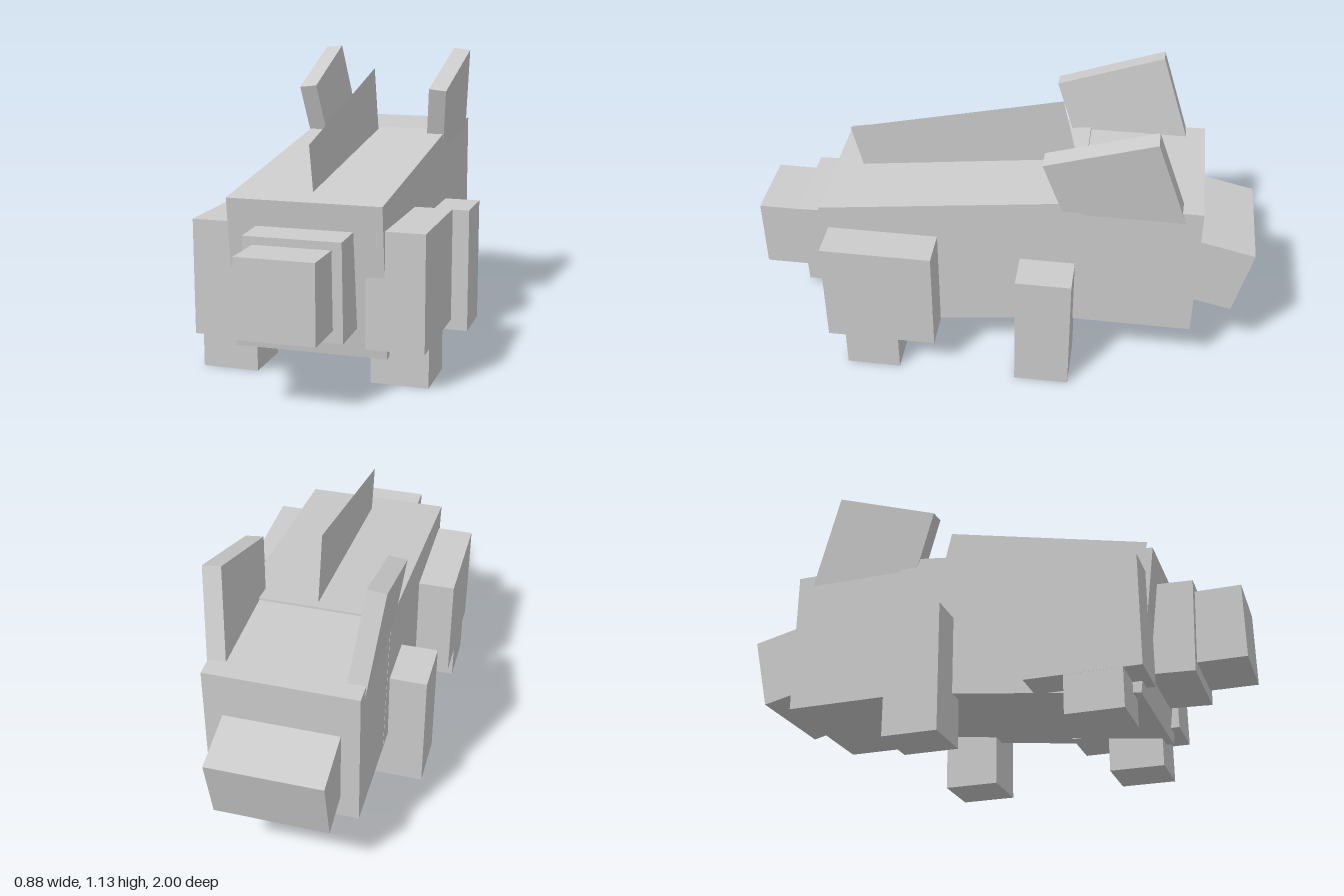
import * as THREE from 'three';

export function createModel() {
  const model = new THREE.Group();
  const grey = new THREE.MeshStandardMaterial({ color: 0xcccccc, flatShading: true });
  const sheet = new THREE.MeshStandardMaterial({ color: 0xcccccc, side: THREE.DoubleSide });

  // Block of size [x, y, z] at a centre; pitch > 0 lowers the +z end
  function block(name, size, centre, pitch = 0, roll = 0) {
    const mesh = new THREE.Mesh(new THREE.BoxGeometry(...size), grey);
    mesh.name = name;
    mesh.position.set(...centre);
    mesh.rotation.set(pitch, 0, roll, 'ZYX');
    model.add(mesh);
    return mesh;
  }

  // Sloping trunk and the upright block behind it
  block('body', [0.582, 0.58, 1.03], [0, 0.457, 0.157], 0.125);
  block('rearBody', [0.58, 0.58, 0.53], [0, 0.51, -0.515]);

  // Stepped snout in front, tilted stub at the back
  block('snoutBase', [0.364, 0.366, 0.24], [0, 0.398, 0.7], 0.04);
  block('snoutTip', [0.29, 0.29, 0.22], [0, 0.401, 0.89]);
  block('rearStub', [0.44, 0.288, 0.3], [0, 0.459, -0.821], -0.226);

  // Paired parts
  for (const [side, s] of [['left', 1], ['right', -1]]) {
    block(side + 'FrontThigh', [0.218, 0.437, 0.436], [s * 0.329, 0.368, 0.453]);
    block(side + 'FrontFoot', [0.217, 0.25, 0.217], [s * 0.329, 0.125, 0.493]);
    block(side + 'RearLeg', [0.218, 0.512, 0.217], [s * 0.329, 0.256, -0.2]);
    block(side + 'Ear', [0.072, 0.45, 0.438], [s * 0.264, 0.847, -0.455], 0.325, s * -0.11);
  }

  // Thin crest along the back, its lower edge sunk into the trunk
  const crest = new THREE.Mesh(new THREE.PlaneGeometry(0.872, 0.29).rotateY(Math.PI / 2), sheet);
  crest.name = 'backCrest';
  crest.position.set(0, 0.829, 0.172);
  crest.rotation.x = 0.2266;
  model.add(crest);

  return model;
}
